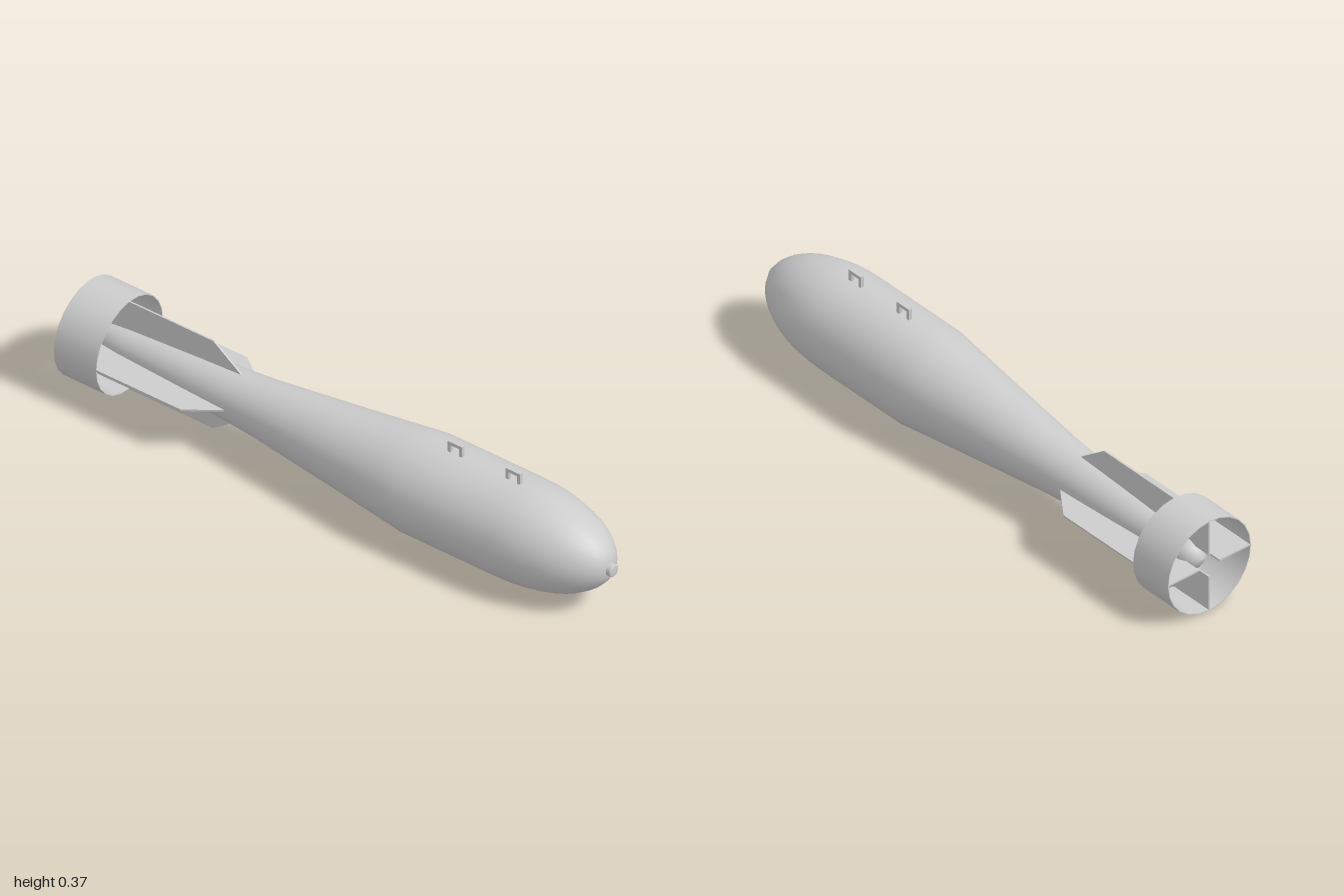
import * as THREE from 'three';

const AXIS = 0.167, R = 0.165, SIDES = 24;

export function createModel() {
  const root = new THREE.Group();
  root.name = 'finnedBomb';
  const grey = new THREE.MeshStandardMaterial({ color: 0xcccccc });
  grey.name = 'plain grey';
  const greyThin = grey;
  greyThin.side = THREE.DoubleSide;

  const add = (name, geometry, parent = root) => {
    const mesh = new THREE.Mesh(geometry, grey);
    mesh.name = name;
    parent.add(mesh);
    return mesh;
  };
  // Turned part along x; profile is [x, radius] from tail to nose
  const turned = (name, profile) => {
    const pts = profile.map(([x, r]) => new THREE.Vector2(r, x));
    const mesh = add(name, new THREE.LatheGeometry(pts, SIDES));
    mesh.rotation.z = -Math.PI / 2;
    mesh.position.y = AXIS;
    return mesh;
  };

  // Body: domed tail, tapered boom, straight middle, elliptical nose
  const profile = [[-0.965, 0], [-0.96, 0.02], [-0.945, 0.038], [-0.92, 0.05],
    [-0.84, 0.06], [-0.58, 0.077], [-0.42, 0.086], [-0.32, 0.094], [0, 0.131],
    [0.2, 0.155], [0.28, R], [0.45, R], [0.65, R]];
  for (let i = 1; i <= 10; i++) {
    const a = (i / 10) * Math.PI * 0.44;
    profile.push([0.65 + 0.337 * Math.sin(a), R * Math.cos(a)]);
  }
  profile.push([0.985, 0]);
  turned('body', profile);

  // Nose fuze
  turned('noseFuze', [[0.96, 0.021], [0.996, 0.021], [0.996, 0.021], [1, 0.017], [1, 0]]);

  // Tail ring, open at both ends
  turned('tailRing', [[-1, R - 0.003], [-1, R], [-1, R], [-0.84, R], [-0.84, R],
    [-0.84, R - 0.003], [-0.84, R - 0.003], [-1, R - 0.003]]);

  // Four fins with swept leading edges
  const finShape = new THREE.Shape([[-0.999, 0.04], [-0.40, 0.04], [-0.40, 0.075],
    [-0.52, R - 0.001], [-0.999, R - 0.001]].map(([x, y]) => new THREE.Vector2(x, y)));
  const finGeometry = new THREE.ExtrudeGeometry(finShape, { depth: 0.006, bevelEnabled: false });
  finGeometry.translate(0, 0, -0.003);
  for (let i = 0; i < 4; i++) {
    const fin = add('fin' + (i + 1), finGeometry);
    fin.rotation.x = i * Math.PI / 2;
    fin.position.y = AXIS;
  }

  // Two suspension lugs: square arches
  for (const [name, x] of [['rearLug', 0.398], ['frontLug', 0.618]]) {
    const lug = new THREE.Group();
    lug.name = name;
    lug.position.set(x, AXIS + R, 0);
    root.add(lug);
    add('bar', new THREE.BoxGeometry(0.056, 0.012, 0.012), lug).position.y = 0.032;
    for (const side of [-1, 1])
      add('leg', new THREE.BoxGeometry(0.012, 0.034, 0.012), lug).position.set(side * 0.022, 0.012, 0);
  }
  return root;
}
